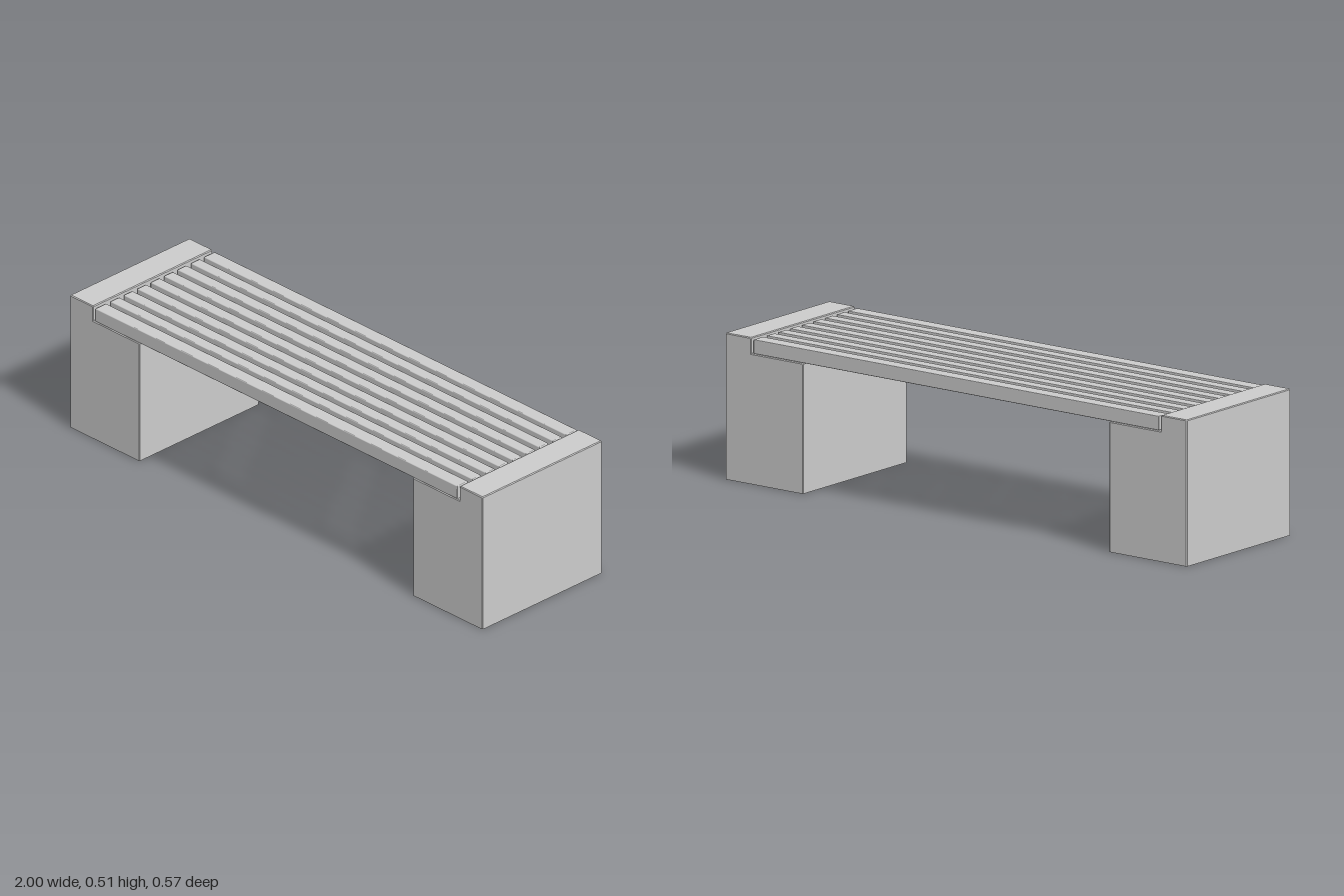
import * as THREE from 'three';
import { RoundedBoxGeometry } from 'three/addons/geometries/RoundedBoxGeometry.js';

const BEVEL = 0.003;
const HALF_DEPTH = 0.285;
const LEDGE = 0.457;
const TOP = 0.513;

// Stepped support block: a bevelled shell, open underneath
function supportGeometry() {
  const c = BEVEL;
  const shape = new THREE.Shape([
    [0.663, 0], [1, 0], [1, TOP - c], [1 - c, TOP],
    [0.888 + c, TOP], [0.888, TOP - c], [0.888, LEDGE],
    [0.663 + c, LEDGE], [0.663, LEDGE - c],
  ].map(([x, y]) => new THREE.Vector2(x, y)));
  const solid = new THREE.ExtrudeGeometry(shape, {
    depth: 2 * (HALF_DEPTH - BEVEL), bevelEnabled: true, bevelSegments: 1,
    bevelSize: BEVEL, bevelThickness: BEVEL, bevelOffset: -BEVEL,
  });
  solid.translate(0, 0, -(HALF_DEPTH - BEVEL));

  // Flatten the lower rim and leave out the triangles of the underside
  const p = solid.attributes.position;
  const kept = [];
  for (let i = 0; i < p.count; i += 3) {
    const corners = [i, i + 1, i + 2].map((k) => {
      const y = p.getY(k);
      return [p.getX(k), y < BEVEL * 1.5 ? 0 : y, p.getZ(k)];
    });
    if (corners.some((v) => v[1] > 0)) kept.push(...corners.flat());
  }
  const shell = new THREE.BufferGeometry();
  shell.setAttribute('position', new THREE.Float32BufferAttribute(kept, 3));
  shell.computeVertexNormals();
  return shell;
}

export function createModel() {
  const bench = new THREE.Group();
  bench.name = 'bench';
  const material = new THREE.MeshStandardMaterial({ color: 0xcccccc });
  const shellMaterial = new THREE.MeshStandardMaterial({ color: 0xcccccc, side: THREE.DoubleSide });

  // Supports at both ends
  const support = supportGeometry();
  for (const [name, turn] of [['leftSupport', 0], ['rightSupport', Math.PI]]) {
    const mesh = new THREE.Mesh(support, shellMaterial);
    mesh.name = name;
    mesh.rotation.y = turn;
    bench.add(mesh);
  }

  // Nine seat slats, the outer two wider and flush with the supports
  const seat = new THREE.Group();
  seat.name = 'seat';
  const height = 0.05;
  for (let i = -4; i <= 4; i++) {
    const outer = Math.abs(i) === 4;
    const width = outer ? 0.052 : 0.043;
    const slat = new THREE.Mesh(new RoundedBoxGeometry(1.756, height, width, 1, 0.003), material);
    slat.name = outer ? 'edgeSlat' : 'slat';
    slat.position.set(0, LEDGE + 0.001 + height / 2, outer ? Math.sign(i) * (HALF_DEPTH - width / 2) : i * 0.064);
    seat.add(slat);
  }
  bench.add(seat);
  return bench;
}
